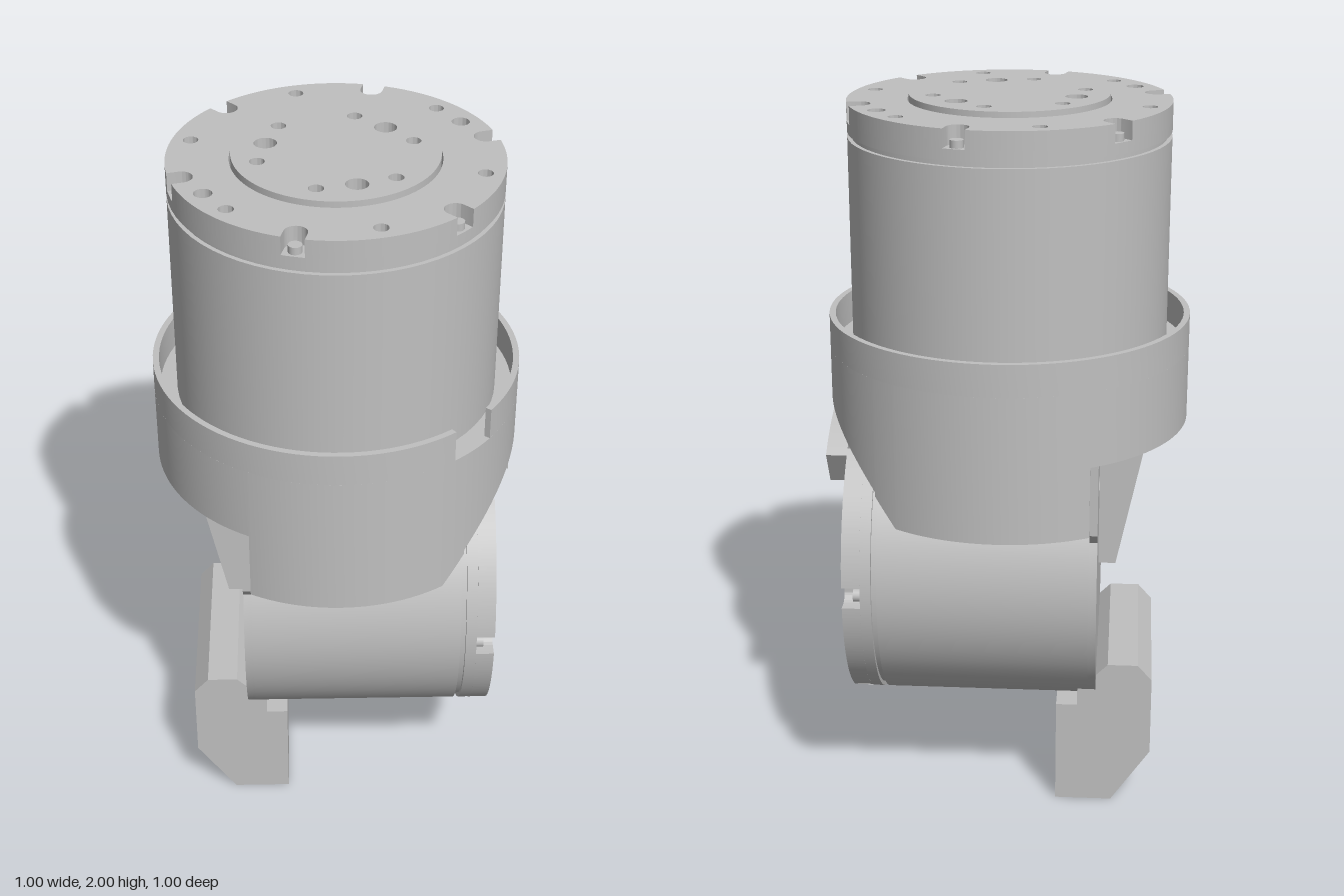
import * as THREE from 'three';
import { toCreasedNormals } from 'three/addons/utils/BufferGeometryUtils.js';

const grey = new THREE.MeshStandardMaterial({ color: 0xc0c0c0 });
grey.name = 'machined grey';
const R = 0.437, AXIS_Y = 0.7, rad = THREE.MathUtils.degToRad;

function add(parent, name, geo) {
  const m = new THREE.Mesh(geo, grey);
  m.name = name;
  parent.add(m);
  return m;
}
function extrude(shape, depth) {
  const g = new THREE.ExtrudeGeometry(shape, { depth, bevelEnabled: false, curveSegments: 48 });
  return toCreasedNormals(g, 0.5);
}
// Plate whose shape lies in x/z, top at y = top
const plateDown = (shape, top, depth) => extrude(shape, depth).rotateX(Math.PI / 2).translate(0, top, 0);
// Plate whose shape lies in (-z)/y, running along +x from x0
const plateX = (shape, x0, depth) => extrude(shape, depth).rotateY(Math.PI / 2).translate(x0, 0, 0);
const disc = (r, y0, y1) => new THREE.CylinderGeometry(r, r, y1 - y0, 64).translate(0, (y0 + y1) / 2, 0);
const box = (x0, x1, y0, y1, z0, z1) => new THREE.BoxGeometry(x1 - x0, y1 - y0, z1 - z0)
  .translate((x0 + x1) / 2, (y0 + y1) / 2, (z0 + z1) / 2);
function hole(shape, x, y, r) {
  const p = new THREE.Path();
  p.absarc(x, y, r, 0, Math.PI * 2, true);
  shape.holes.push(p);
}
const polarHole = (shape, dist, deg, r) =>
  hole(shape, dist * Math.cos(rad(deg)), dist * Math.sin(rad(deg)), r);
function polygon(points) {
  return new THREE.Shape(points.map(([x, y]) => new THREE.Vector2(x, y)));
}

// Round drive along +y; y = 0 is the face of its output flange
function makeDrive(name, length, phi, extra) {
  const g = new THREE.Group();
  g.name = name;
  add(g, 'driveBody', disc(R, -length, -0.095));
  add(g, 'driveGroove', disc(0.425, -0.095, -0.08));
  add(g, 'flangeBase', disc(R, -0.08, -0.05));

  // flange ring with six U-shaped screw notches
  const ring = new THREE.Shape(), d = Math.asin(0.03 / R), h = Math.PI / 2;
  for (let k = 0; k < 6; k++) {
    const a = rad(phi + 60 * k);
    ring.absarc(0.405 * Math.cos(a), 0.405 * Math.sin(a), 0.03, a - h, a - 3 * h, true);
    ring.absarc(0, 0, R, a + d, a + rad(60) - d, false);
    polarHole(ring, 0.388, phi + 30 + 60 * k, 0.02);
    const screw = add(g, 'flangeScrew', new THREE.CylinderGeometry(0.018, 0.018, 0.02, 16));
    screw.position.set(0.412 * Math.cos(a), -0.04, 0.412 * Math.sin(a));
  }
  ring.closePath();
  for (const a of [extra, extra + 180]) polarHole(ring, 0.385, a, 0.024);
  hole(ring, 0, 0, 0.274);
  add(g, 'flangeRing', plateDown(ring, 0, 0.05));

  // raised output hub
  const hub = new THREE.Shape();
  hub.absarc(0, 0, 0.27, 0, Math.PI * 2, false);
  for (let k = 0; k < 6; k++) polarHole(hub, 0.208, phi + 60 * k, 0.02);
  for (let k = 0; k < 3; k++) polarHole(hub, 0.187, phi + 30 + 120 * k, 0.03);
  add(g, 'outputHub', plateDown(hub, 0.015, 0.065));
  return g;
}

// Collar block: loft along x, with a stepped, sloped underside and a clearance around the lower drive
function collarGeometry() {
  const top = 1.31, N = 24, stations = [];
  const step = -0.24, slope = 0.28, clear = 0.34;
  const xs = [step, slope, clear];
  for (let i = 0; i <= 64; i++) xs.push(-0.49999 * Math.cos(Math.PI * i / 64));
  xs.sort((a, b) => a - b);
  for (const x of xs) {
    if (x === step || x === clear) stations.push([x, x - 1e-6]);
    stations.push([x, x]);
  }
  const bottom = (x, z) => {
    if (x < step) return 1.1;
    const y = x < slope ? 0.9 : 0.9 + (x - slope) * 1.22;
    return x < clear ? y : Math.max(y, AXIS_Y + Math.sqrt(Math.max(0, 0.465 ** 2 - z * z)));
  };
  const loops = stations.map(([x, key]) => {
    const w = Math.sqrt(0.25 - x * x), loop = [[x, top, -w]];
    for (let j = 0; j <= N; j++) {
      const z = w * (2 * j / N - 1);
      loop.push([x, bottom(key, z), z]);
    }
    loop.push([x, top, w]);
    return loop;
  });
  const pos = [];
  for (let i = 0; i + 1 < loops.length; i++) {
    const A = loops[i], B = loops[i + 1], n = A.length;
    for (let j = 0; j < n; j++) {
      const k = (j + 1) % n;
      pos.push(...A[j], ...B[j], ...A[k], ...B[j], ...B[k], ...A[k]);
    }
  }
  const g = new THREE.BufferGeometry();
  g.setAttribute('position', new THREE.Float32BufferAttribute(pos, 3));
  return toCreasedNormals(g, 0.5);
}

export function createModel() {
  const model = new THREE.Group();
  model.name = 'twoAxisJoint';

  // upper and lower drives
  const upper = makeDrive('upperDrive', 0.685, 45, 150);
  upper.position.y = 1.985;
  const lower = makeDrive('lowerDrive', 0.67, 30, 15);
  lower.rotation.z = -Math.PI / 2;
  lower.position.set(0.43, AXIS_Y, 0);
  model.add(upper, lower);

  // collar with thin rim, open at one corner
  add(model, 'collar', collarGeometry());
  const rim = new THREE.Shape();
  rim.absarc(0, 0, 0.5, rad(53), rad(397), false);
  rim.absarc(0, 0, 0.483, rad(397), rad(53), true);
  add(model, 'collarRim', plateDown(rim, 1.4, 0.09));

  // end cover closing the lower drive and collar
  const cover = new THREE.Shape(), a = Math.asin(0.17 / R);
  cover.moveTo(-0.427, 1.1);
  cover.lineTo(-0.427, 0.9);
  cover.absarc(0, AXIS_Y, R, Math.PI - a, Math.PI * 2 + a, false);
  cover.lineTo(0.427, 0.9);
  cover.lineTo(0.427, 1.1);
  for (const s of [-1, 1]) hole(cover, 0.28 * s, 1.0, 0.04);
  add(model, 'endCover', plateX(cover, -0.262, 0.022));

  // tapered ribs below the collar
  const rib = polygon([[-0.39, 1.1], [-0.31, 0.72], [-0.26, 0.72], [-0.26, 1.1]]);
  for (const s of [-1, 1]) add(model, 'rib', extrude(rib, 0.08).translate(0, 0, 0.16 * s - 0.04));

  // stop block on the lower flange
  const stop = new THREE.Shape();
  stop.absarc(0, AXIS_Y, R, rad(53), rad(96.5), false);
  stop.absarc(0, AXIS_Y, 0.325, rad(98), rad(51), true);
  hole(stop, 0, 1.085, 0.035);
  hole(stop, 0.1, 1.075, 0.024);
  add(model, 'stopBlock', plateX(stop, 0.43, 0.057));
  add(model, 'stopPin', new THREE.CylinderGeometry(0.02, 0.02, 0.04, 20)
    .rotateZ(Math.PI / 2).translate(0.45, 1.085, 0));

  // foot: chamfered back, drilled base and two posts with a slot between
  const back = polygon([[-0.26, 0], [-0.31, 0], [-0.42, 0.16], [-0.42, 0.39],
    [-0.38, 0.435], [-0.295, 0.435], [-0.26, 0.4]].reverse());
  add(model, 'footBack', extrude(back, 0.54).translate(0, 0, -0.27));
  const base = polygon([[-0.26, -0.27], [-0.15, -0.27], [-0.15, 0.27], [-0.26, 0.27]]);
  for (const s of [-1, 1]) hole(base, -0.21, 0.18 * s, 0.035);
  add(model, 'footBase', plateDown(base, 0.15, 0.15));
  for (const s of [-1, 1]) {
    const z = [0.12 * s, 0.27 * s].sort((p, q) => p - q);
    add(model, 'footPost', box(-0.26, -0.15, 0.15, 0.305, z[0], z[1]));
    const e = [0.2 * s, 0.27 * s].sort((p, q) => p - q);
    add(model, 'footEar', box(-0.26, -0.21, 0.305, 0.4, e[0], e[1]));
  }
  return model;
}
